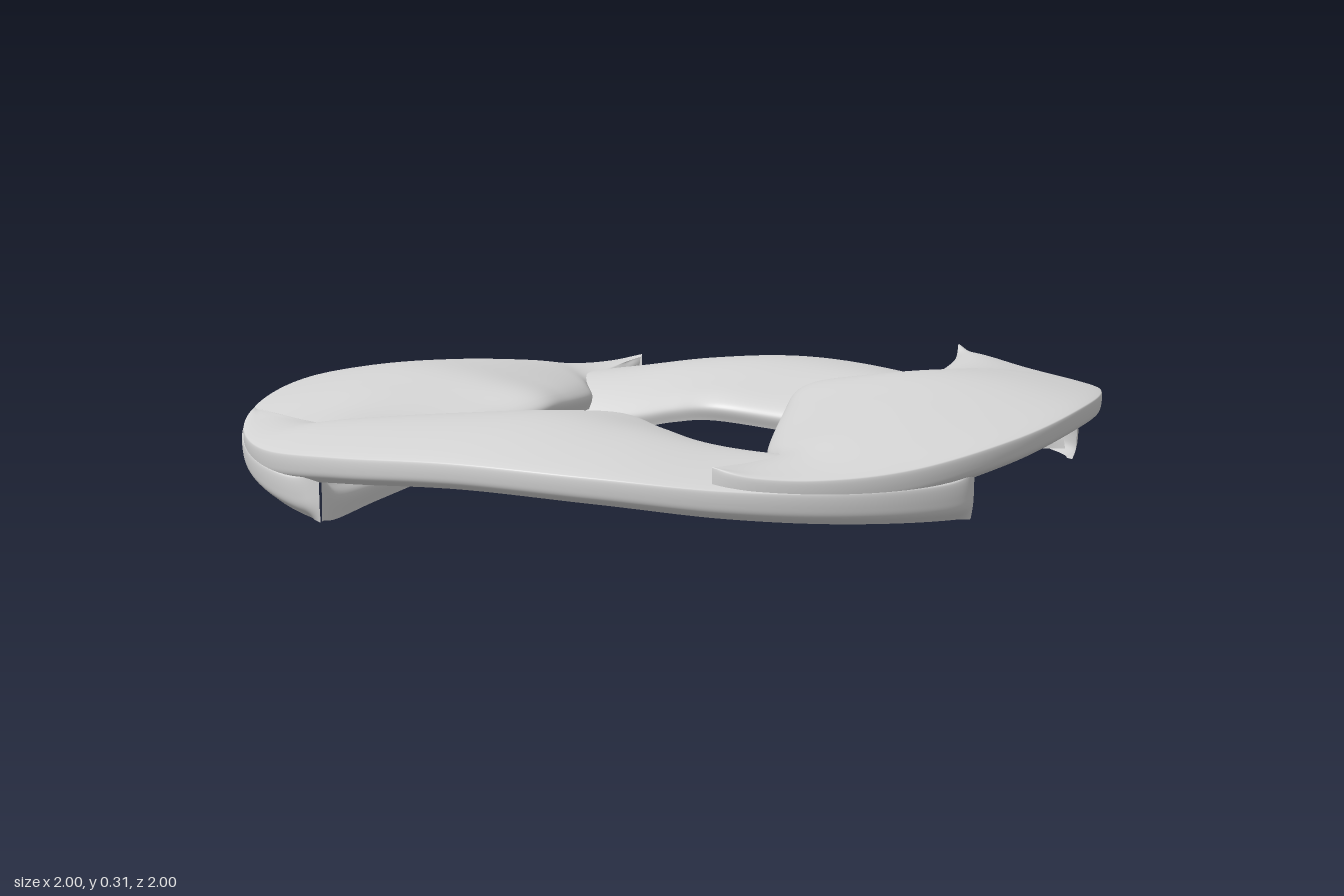
import * as THREE from 'three';

const grey = new THREE.MeshStandardMaterial({ color: 0xd4d4d4, side: THREE.DoubleSide });
grey.name = 'plain grey';

const { lerp, degToRad } = THREE.MathUtils;
const curve = (pts) => new THREE.CatmullRomCurve3(pts, false, 'centripetal');
const keyed = (rows) => new THREE.CatmullRomCurve3(rows.map((p) => new THREE.Vector3(...p)), false, 'catmullrom', 0.5);

// Twelve matching stations along a flap, from its curved tip to its straight tip

// Inner edge: [x, height of the lip, z]
const innerEdge = keyed([
  [-0.77, 0.125, 0.55], [-0.6, 0.11, 0.547], [-0.48, 0.1, 0.525], [-0.37, 0.105, 0.455],
  [-0.12, 0.135, 0.36], [0.06, 0.155, 0.305], [0.19, 0.135, 0.335], [0.32, 0.105, 0.355],
  [0.47, 0.085, 0.36], [0.68, 0.08, 0.352], [0.83, 0.09, 0.342], [0.9, 0.135, 0.336],
]);

// Outer rim: [angle in degrees from the flap's middle, lower height, upper height]
const outerRim = keyed([
  [-55, 0.045, 0.13], [-50, 0.04, 0.11], [-42, 0.035, 0.1], [-31, 0.04, 0.105],
  [-14, 0.075, 0.135], [4, 0.1, 0.158], [21, 0.088, 0.147], [36, 0.06, 0.122],
  [48, 0.04, 0.107], [59, 0.025, 0.1], [67, 0.015, 0.105], [70.3, 0.01, 0.14],
]);

// Height of the arch between them: [0, height, 0]
const arch = keyed(
  [0.125, 0.118, 0.125, 0.15, 0.185, 0.205, 0.187, 0.158, 0.144, 0.138, 0.13, 0.138].map((y) => [0, y, 0]),
);

// Cross-section of a flap, from the rolled rim over the arch to the rolled lip
function section(u) {
  const rim = outerRim.getPoint(u);
  const inner = innerEdge.getPoint(u);
  const crown = arch.getPoint(u).y;
  const radius = 1 - 0.025 * Math.abs(2 * u - 1) ** 8;
  const x = radius * Math.sin(degToRad(rim.x));
  const z = radius * Math.cos(degToRad(rim.x));
  const inset = Math.min(0.3, 0.025 / Math.hypot(x - inner.x, z - inner.z));
  const lipDepth = 0.055 + 0.07 * u ** 8;
  const at = (t, y) => new THREE.Vector3(lerp(x, inner.x, t), y, lerp(z, inner.z, t));
  return curve([
    at(inset, rim.y),
    at(0.2 * inset, lerp(rim.y, rim.z, 0.25)),
    at(0, lerp(rim.y, rim.z, 0.55)),
    at(0, lerp(rim.y, rim.z, 0.95)),
    at(0.1 * inset, rim.z),
    at(0.25, lerp(rim.z, crown, 0.75)),
    at(0.5, crown),
    at(0.78, lerp(crown, inner.y, 0.45)),
    at(1 - inset, inner.y),
    at(1, inner.y - 0.4 * lipDepth),
    at(1 - 0.4 * inset, inner.y - lipDepth),
  ]);
}

// One arched flap with rolled edges
function flapGeometry() {
  const rows = 100;
  const cols = 70;
  const g = new THREE.PlaneGeometry(1, 1, rows, cols);
  for (let i = 0; i <= rows; i++) {
    const s = section(i / rows);
    for (let j = 0; j <= cols; j++) {
      const p = s.getPoint(1 - j / cols);
      g.attributes.position.setXYZ(j * (rows + 1) + i, p.x, p.y, p.z);
    }
  }
  g.computeVertexNormals();
  return g;
}

export function createModel() {
  const model = new THREE.Group();
  model.name = 'foldedRing';
  const geometry = flapGeometry();

  // Four flaps, each a quarter turn on and a little higher than the last;
  // going round from the back they face -x, the front and +x
  ['backFlap', 'rightFlap', 'frontFlap', 'leftFlap'].forEach((name, i) => {
    const flap = new THREE.Mesh(geometry, grey);
    flap.name = name;
    flap.rotation.y = Math.PI + (i * Math.PI) / 2;
    flap.position.y = 0.035 * i;
    model.add(flap);
  });
  return model;
}
